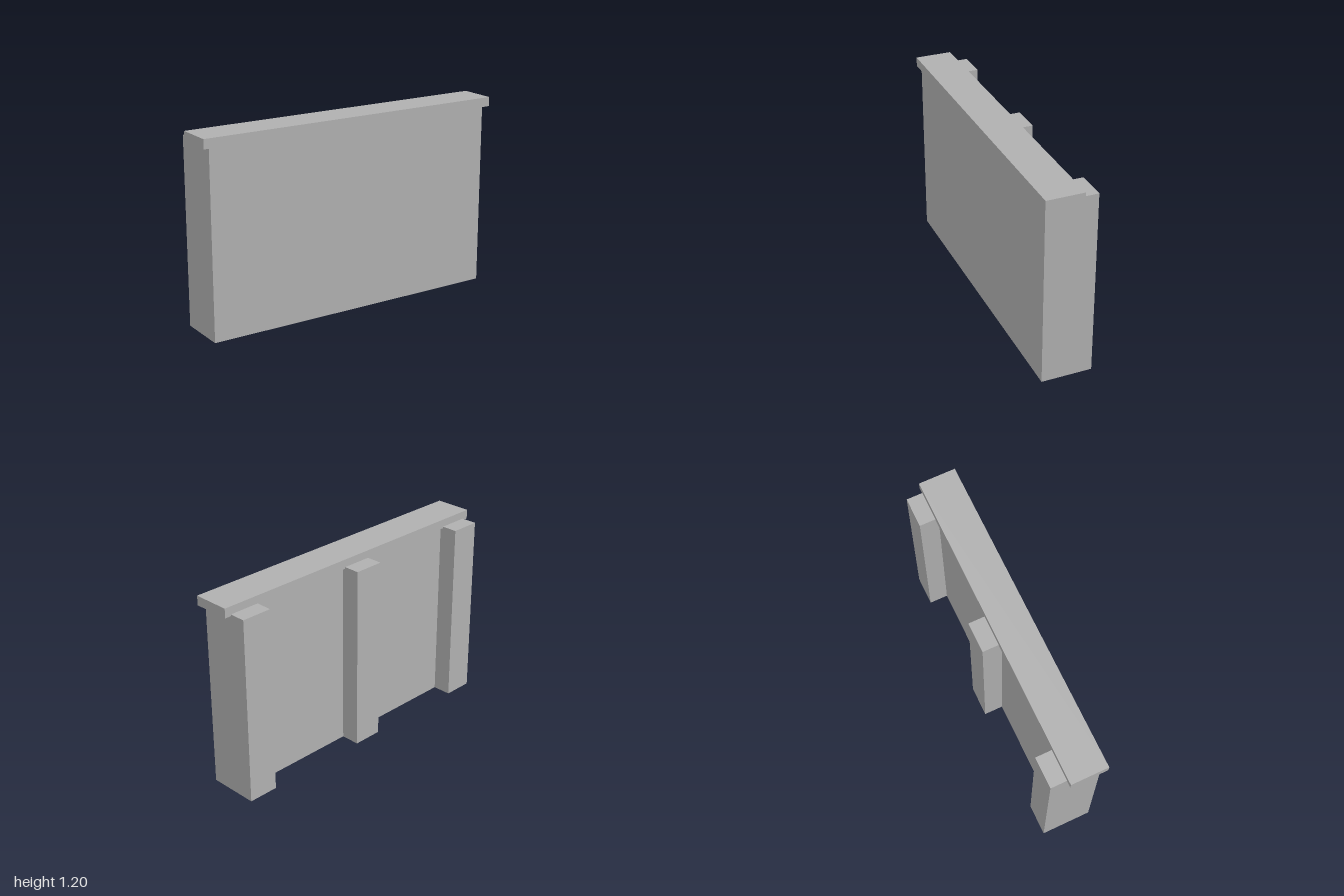
import * as THREE from 'three';

export function createModel() {
  const model = new THREE.Group();
  model.name = 'wallSection';
  const concrete = new THREE.MeshStandardMaterial({ color: 0xb0b0b0 });
  concrete.name = 'concrete grey';

  // Box given by its lower and upper limits on each axis
  const block = (name, [x0, x1], [y0, y1], [z0, z1]) => {
    const mesh = new THREE.Mesh(new THREE.BoxGeometry(x1 - x0, y1 - y0, z1 - z0), concrete);
    mesh.name = name;
    mesh.position.set((x0 + x1) / 2, (y0 + y1) / 2, (z0 + z1) / 2);
    model.add(mesh);
  };

  // Main slab and the overhanging cap along its top
  block('wall', [-0.96, 0.96], [0, 1.146], [-0.046, 0.147]);
  block('coping', [-1, 1], [1.146, 1.204], [-0.065, 0.165]);

  // Three buttresses on the back, the outer two flush with the wall ends
  const names = ['rightButtress', 'middleButtress', 'leftButtress'];
  [-0.865, 0, 0.865].forEach((x, i) =>
    block(names[i], [x - 0.095, x + 0.095], [0, 1.156], [-0.165, -0.046]));

  return model;
}
